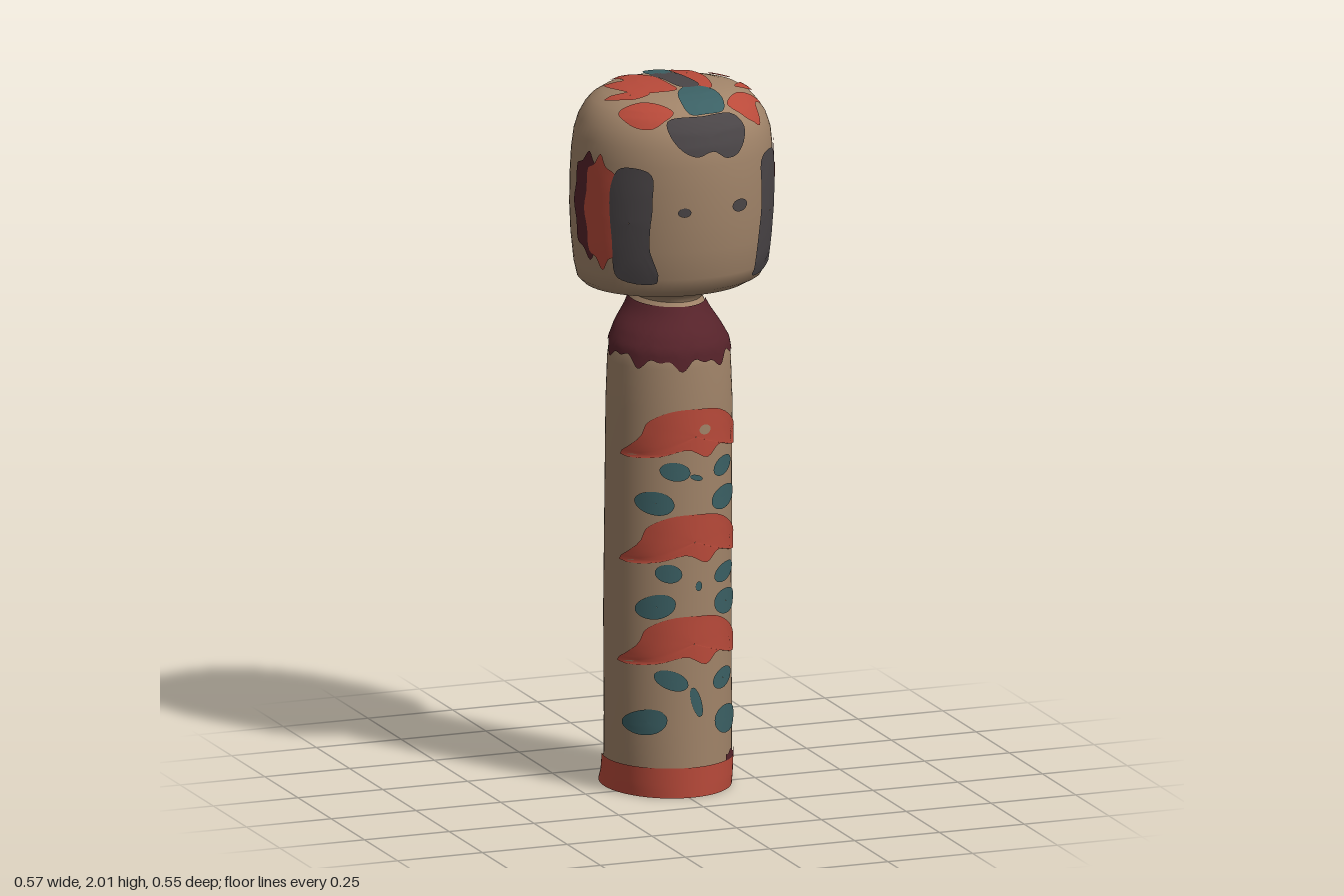
import * as THREE from 'three';

// Section table: y, xMin, xMax, zBack, zFront
const RINGS = [
  [0, -.165, .185, -.27, .14], [.03, -.165, .185, -.247, .14], [.09, -.166, .185, -.226, .14],
  [.2, -.17, .182, -.21, .143], [.5, -.175, .178, -.2, .147], [.8, -.176, .176, -.187, .155],
  [1.1, -.175, .175, -.18, .16], [1.22, -.17, .17, -.18, .16], [1.27, -.162, .163, -.18, .155],
  [1.31, -.138, .143, -.185, .132], [1.35, -.1, .12, -.19, .09], [1.385, -.077, .105, -.195, .065],
  [1.4, -.09, .12, -.2, .07], [1.42, -.16, .17, -.208, .12], [1.44, -.24, .22, -.22, .205],
  [1.46, -.262, .25, -.227, .238], [1.5, -.272, .266, -.24, .258], [1.58, -.278, .275, -.259, .27],
  [1.66, -.28, .28, -.27, .278], [1.75, -.28, .28, -.265, .28], [1.82, -.278, .278, -.256, .278],
  [1.87, -.272, .273, -.247, .271], [1.91, -.259, .26, -.236, .257], [1.94, -.24, .24, -.222, .235],
  [1.96, -.22, .222, -.205, .21], [1.978, -.19, .195, -.178, .18], [1.99, -.145, .15, -.135, .138],
  [1.997, -.085, .09, -.08, .085], [2, -.002, .002, -.002, .002],
];

const MAT = {};
for (const [name, hex] of Object.entries({
  wood: 0xa18469, red: 0xb94a3a, maroon: 0x56232a, teal: 0x3b6064, charcoal: 0x4a4547,
})) {
  MAT[name] = new THREE.MeshStandardMaterial({ color: hex });
  MAT[name].name = name;
}

// Ellipse of the surface at height y
function section(y) {
  let i = 0;
  while (i < RINGS.length - 2 && y > RINGS[i + 1][0]) i++;
  const a = RINGS[i], b = RINGS[i + 1];
  const t = THREE.MathUtils.clamp((y - a[0]) / (b[0] - a[0]), 0, 1);
  const [, x0, x1, z0, z1] = a.map((v, k) => v + (b[k] - v) * t);
  return { cx: (x0 + x1) / 2, rx: (x1 - x0) / 2, cz: (z0 + z1) / 2, rz: (z1 - z0) / 2 };
}

// Angle 0 faces the front, +90 degrees faces +x
function surfacePoint(a, y, off = 0, scale = 1) {
  const s = section(y);
  return [s.cx + (s.rx + off) * scale * Math.sin(a), y, s.cz + (s.rz + off) * scale * Math.cos(a)];
}

// Mesh from rows of points; wrap joins the last column to the first
function gridMesh(name, mat, rows, wrap) {
  const n = rows[0].length, idx = [];
  for (let r = 0; r < rows.length - 1; r++)
    for (let c = 0; c < (wrap ? n : n - 1); c++) {
      const a = r * n + c, b = r * n + (c + 1) % n;
      idx.push(a, b, b + n, a, b + n, a + n);
    }
  const g = new THREE.BufferGeometry();
  g.setAttribute('position', new THREE.Float32BufferAttribute(rows.flat(2), 3));
  g.setIndex(idx);
  g.computeVertexNormals();
  const m = new THREE.Mesh(g, mat);
  m.name = name;
  return m;
}

function loft(name, yMin, yMax) {
  const rows = RINGS.filter(r => r[0] >= yMin && r[0] <= yMax).map(r =>
    Array.from({ length: 72 }, (_, i) => surfacePoint(i / 72 * Math.PI * 2, r[0])));
  return gridMesh(name, MAT.wood, rows, true);
}

// Painted band between two angles (degrees) with height rules for its edges
function band(name, mat, d0, d1, low, high, off = .004) {
  const cols = 120, steps = 10;
  const rows = Array.from({ length: steps + 1 }, (_, r) => Array.from({ length: cols + 1 }, (_, c) => {
    const a = THREE.MathUtils.degToRad(d0 + (d1 - d0) * c / cols);
    return surfacePoint(a, low(a) + (high(a) - low(a)) * r / steps, off);
  }));
  return gridMesh(name, mat, rows, false);
}

function inside(x, y, z, off) {
  const yy = y - off * THREE.MathUtils.clamp((y - 1.8) / .15, 0, 1);
  if (yy > 2) return false;
  const s = section(yy);
  return ((x - s.cx) / (s.rx + off)) ** 2 + ((z - s.cz) / (s.rz + off)) ** 2 < 1;
}

// Drop a flat point (u, v) onto the surface: front takes (x, y), sides (z, y), top (x, z)
const PLACE = {
  front: (u, v, t) => [u, v, t * .4],
  left: (u, v, t) => [t * .4, v, u],
  right: (u, v, t) => [-t * .4, v, u],
  top: (u, v, t) => [u, 1.75 + t * .3, v],
};
function project(side, u, v, off) {
  let lo = 0, hi = 1;
  for (let i = 0; i < 24; i++) {
    const mid = (lo + hi) / 2;
    if (inside(...PLACE[side](u, v, mid), off)) lo = mid; else hi = mid;
  }
  return PLACE[side](u, v, lo);
}

// Painted patch with a smooth closed outline, following the surface
function patch(name, mat, side, pts, off = .004) {
  const curve = new THREE.CatmullRomCurve3(pts.map(p => new THREE.Vector3(p[0], p[1], 0)), true, 'centripetal');
  let line = curve.getPoints(48).slice(0, -1).map(p => new THREE.Vector2(p.x, p.y));
  const ccw = THREE.ShapeUtils.area(line) > 0;
  if (ccw === (side === 'left' || side === 'top')) line.reverse();
  const c = line.reduce((s, p) => s.add(p), new THREE.Vector2()).divideScalar(line.length);
  const rows = [1, .8, .6, .4, .2, .01].map(k =>
    line.map(p => project(side, c.x + (p.x - c.x) * k, c.y + (p.y - c.y) * k, off)));
  return gridMesh(name, mat, rows, true);
}

const oval = (x, y, rx, ry, tilt = 0, lobes = 0) => Array.from({ length: lobes ? lobes * 2 : 10 }, (_, i, n = lobes ? lobes * 2 : 10) => {
  const a = i / n * Math.PI * 2, k = lobes && i % 2 ? .86 : 1;
  const u = rx * k * Math.cos(a), v = ry * k * Math.sin(a);
  return [x + u * Math.cos(tilt) - v * Math.sin(tilt), y + u * Math.sin(tilt) + v * Math.cos(tilt)];
});

export function createModel() {
  const g = new THREE.Group();
  g.name = 'woodenDoll';
  g.add(loft('body', 0, 1.385), loft('head', 1.385, 2));

  // Underside with a painted front rim
  const arc = (k, y, d0, d1) => Array.from({ length: 49 }, (_, i) => {
    const p = surfacePoint(THREE.MathUtils.degToRad(d0 + (d1 - d0) * i / 48), 0, 0, k);
    return [p[0], y, p[2]];
  });
  g.add(gridMesh('underside', MAT.wood, [arc(.01, .003, 0, 360), arc(1, .003, 0, 360)], false));
  g.add(gridMesh('undersideRim', MAT.red, [arc(.72, 0, -130, 100), arc(1, 0, -130, 100)], false));

  // Base and neck bands
  g.add(band('baseBand', MAT.red, -130, 150, () => 0, () => .085));
  g.add(band('baseBandTrim', MAT.maroon, 40, 148, () => .083, a => .105 + .006 * Math.sin(a * 23)));
  g.add(band('collar', MAT.maroon, -180, 180,
    a => 1.25 - .018 * Math.cos(a) + .012 * Math.sin(a * 9) + .008 * Math.sin(a * 17 + 1), () => 1.375));
  g.add(band('napePaint', MAT.teal, 165, 222, () => 1.345, a => 1.405 + .008 * Math.sin(a * 9), .006));
  g.add(band('neckShade', MAT.charcoal, 100, 165, () => 1.37, () => 1.4, .005));
  g.add(band('collarSmudge', MAT.charcoal, 72, 125, () => 1.198, a => 1.212 + .006 * Math.sin(a * 15)));

  // Blossoms and leaves down the front
  for (const y of [1.04, .74, .45]) {
    g.add(patch('blossom', MAT.red, 'front', [[-.168, -.07], [-.13, -.01], [-.115, .03], [-.06, .06], [.02, .065],
      [.09, .055], [.14, .02], [.172, -.03], [.168, -.065], [.09, -.045], [.05, -.075], [-.01, -.05], [-.09, -.068]]
      .map(p => [p[0], p[1] + y])));
  }
  g.add(patch('blossomCentre', MAT.wood, 'front', oval(.04, 1.045, .018, .014), .006));
  const leaves = [[-.045, .93, .042, .026, -.2], [.105, .93, .036, .026, .4], [-.095, .84, .048, .033, -.2], [.11, .84, .046, .033, .2],
    [-.06, .64, .036, .026, -.2], [.115, .625, .04, .026, .3], [-.09, .545, .05, .034, .3], [.122, .54, .046, .036, -.2],
    [-.05, .335, .048, .026, -.4], [.11, .325, .038, .028, .4], [-.11, .215, .05, .036, .3], [.125, .205, .046, .04, -.3],
    [.015, .91, .02, .008, -.3], [.025, .6, .01, .014, 0], [.02, .27, .015, .045, .3]];
  for (const l of leaves) g.add(patch('leaf', MAT.teal, 'front', oval(...l)));

  // Face
  g.add(patch('rightEye', MAT.charcoal, 'front', oval(-.065, 1.695, .018, .013)));
  g.add(patch('leftEye', MAT.charcoal, 'front', oval(.102, 1.7, .025, .018)));
  g.add(patch('forelock', MAT.charcoal, 'front', [[-.095, 1.945], [0, 1.953], [.1, 1.948], [.128, 1.91], [.1, 1.85],
    [.06, 1.84], [.02, 1.862], [-.03, 1.85], [-.075, 1.875], [-.1, 1.92]], .006));

  // Side locks and ear ornaments
  g.add(patch('leftSideLock', MAT.charcoal, 'left', [[.14, 1.49], [.2, 1.48], [.215, 1.55], [.22, 1.7], [.215, 1.82],
    [.16, 1.825], [.135, 1.78], [.135, 1.6]], .006));
  g.add(patch('rightSideLock', MAT.charcoal, 'right', [[.165, 1.5], [.23, 1.49], [.235, 1.6], [.245, 1.72], [.238, 1.81],
    [.185, 1.815], [.16, 1.76], [.16, 1.6]], .006));
  g.add(patch('leftEarRim', MAT.maroon, 'left', oval(.085, 1.695, .072, .155, -.15, 8)));
  g.add(patch('leftEarCentre', MAT.red, 'left', oval(.085, 1.735, .045, .108, 0, 7), .0055));
  g.add(patch('rightEarRim', MAT.maroon, 'right', oval(.08, 1.69, .08, .155, 0, 8)));
  g.add(patch('rightEarCentre', MAT.red, 'right', oval(.125, 1.68, .062, .165, 0, 8), .0055));

  // Crown ornament
  g.add(patch('crownKnot', MAT.teal, 'top', [[-.03, .22], [-.035, .15], [-.01, .1], [.03, .08], [.07, .1], [.088, .15], [.075, .21], [.02, .225]], .005));
  g.add(patch('crownParting', MAT.charcoal, 'top', [[-.032, -.07], [.03, -.07], [.05, 0], [.05, .085], [0, .09], [-.02, .01]], .006));
  g.add(patch('crownTip', MAT.teal, 'top', [[-.032, -.068], [-.03, -.13], [0, -.145], [.03, -.125], [.03, -.068]], .006));
  const petals = [
    [[-.125, -.15], [-.1, -.17], [-.07, -.13], [-.03, -.05], [-.02, .03], [-.02, .1], [-.07, .1], [-.12, .085], [-.155, .03], [-.168, -.07], [-.115, -.06]],
    [[-.208, .035], [-.13, .06], [-.1, .1], [-.15, .105]],
    [[-.2, .12], [-.14, .13], [-.07, .205], [-.13, .217], [-.18, .18]],
    [[.055, -.19], [.075, -.203], [.098, -.12], [.108, -.02], [.08, .1], [.05, .08], [.04, -.06]],
    [[.178, -.12], [.188, -.03], [.135, -.055]],
    [[.23, -.01], [.225, .04], [.18, .08], [.16, .078], [.19, .03]],
    [[.228, .1], [.2, .13], [.19, .19], [.14, .207], [.095, .19], [.13, .14], [.17, .11]],
  ];
  for (const p of petals) g.add(patch('crownPetal', MAT.red, 'top', p, .004));
  return g;
}
